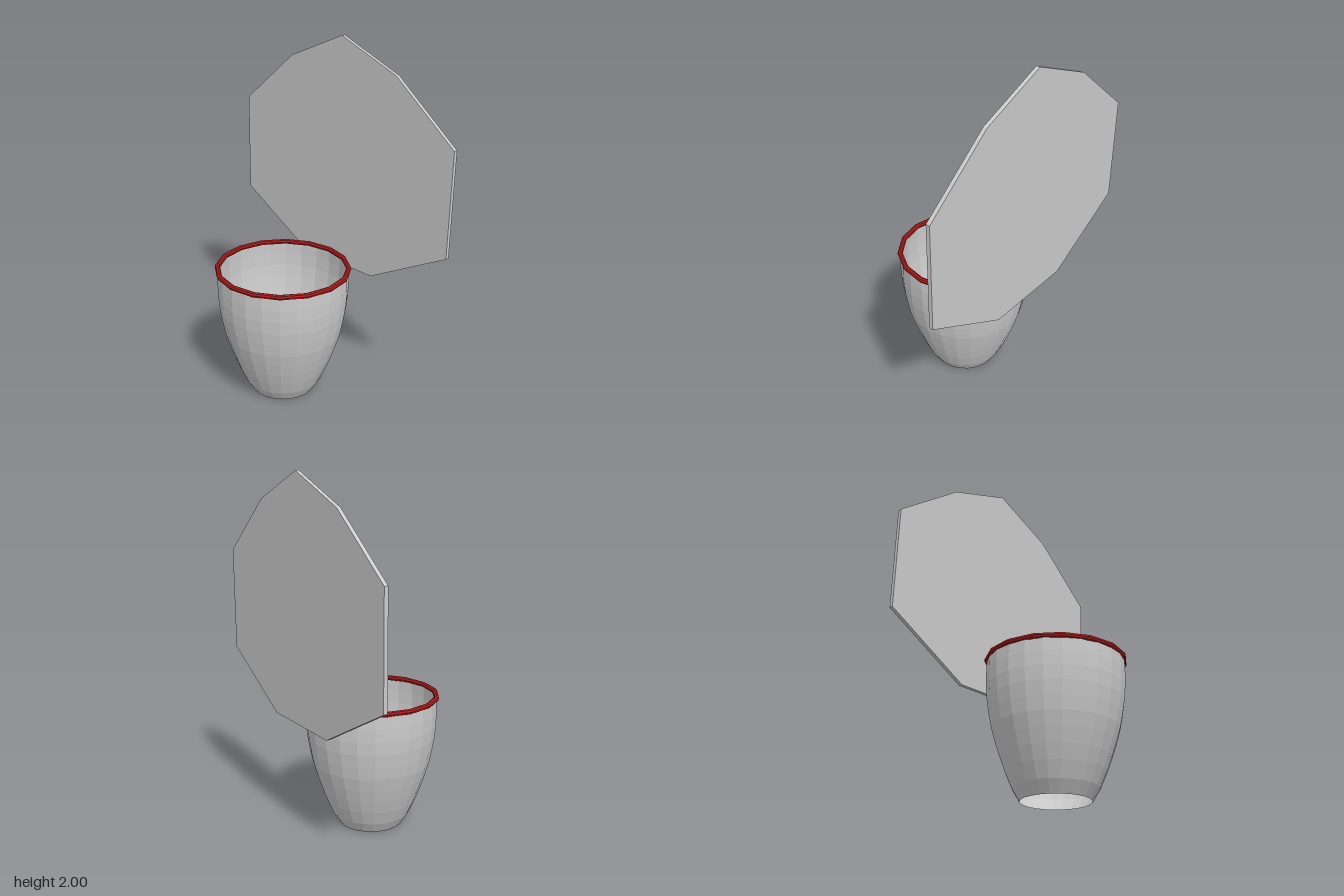
import * as THREE from 'three';

const GREY = 0xcccccc;
const CUP_Z = 0.035;

function material(color, side = THREE.FrontSide) {
  return new THREE.MeshStandardMaterial({ color, side, flatShading: true });
}

function addPart(group, name, geometry, mat, x, y, z) {
  const mesh = new THREE.Mesh(geometry, mat);
  mesh.name = name;
  mesh.position.set(x, y, z);
  group.add(mesh);
  return mesh;
}

export function createModel() {
  const group = new THREE.Group();
  group.name = 'basketAndBackboard';

  // Backboard: right half of the outline, mirrored to the left
  const half = [[0.275, 0.655], [0.79, 0.935], [0.79, 1.525], [0.395, 1.84]];
  const mirrored = half.map(([x, y]) => [-x, y]).reverse();
  const outline = [...half, [0, 2], ...mirrored].map(([x, y]) => new THREE.Vector2(x, y));
  const board = new THREE.ExtrudeGeometry(new THREE.Shape(outline), { depth: 0.022, bevelEnabled: false });
  addPart(group, 'backboard', board, material(GREY), 0, 0, -0.422);

  // Basket: thin tapering wall, open at the top and bottom
  const profile = [
    [0.185, 0], [0.225, 0.065], [0.262, 0.15], [0.29, 0.225], [0.315, 0.3], [0.337, 0.375],
    [0.352, 0.45], [0.364, 0.525], [0.371, 0.6], [0.373, 0.675], [0.371, 0.755],
  ].map(([r, y]) => new THREE.Vector2(r, y));
  addPart(group, 'basket', new THREE.LatheGeometry(profile, 24), material(GREY, THREE.DoubleSide), 0, 0, CUP_Z);

  // Rim: red sixteen-sided ring
  const rim = addPart(group, 'rim', new THREE.TorusGeometry(0.371, 0.015, 8, 16), material(0xb01c1c), 0, 0.755, CUP_Z);
  rim.rotation.x = Math.PI / 2;

  return group;
}
